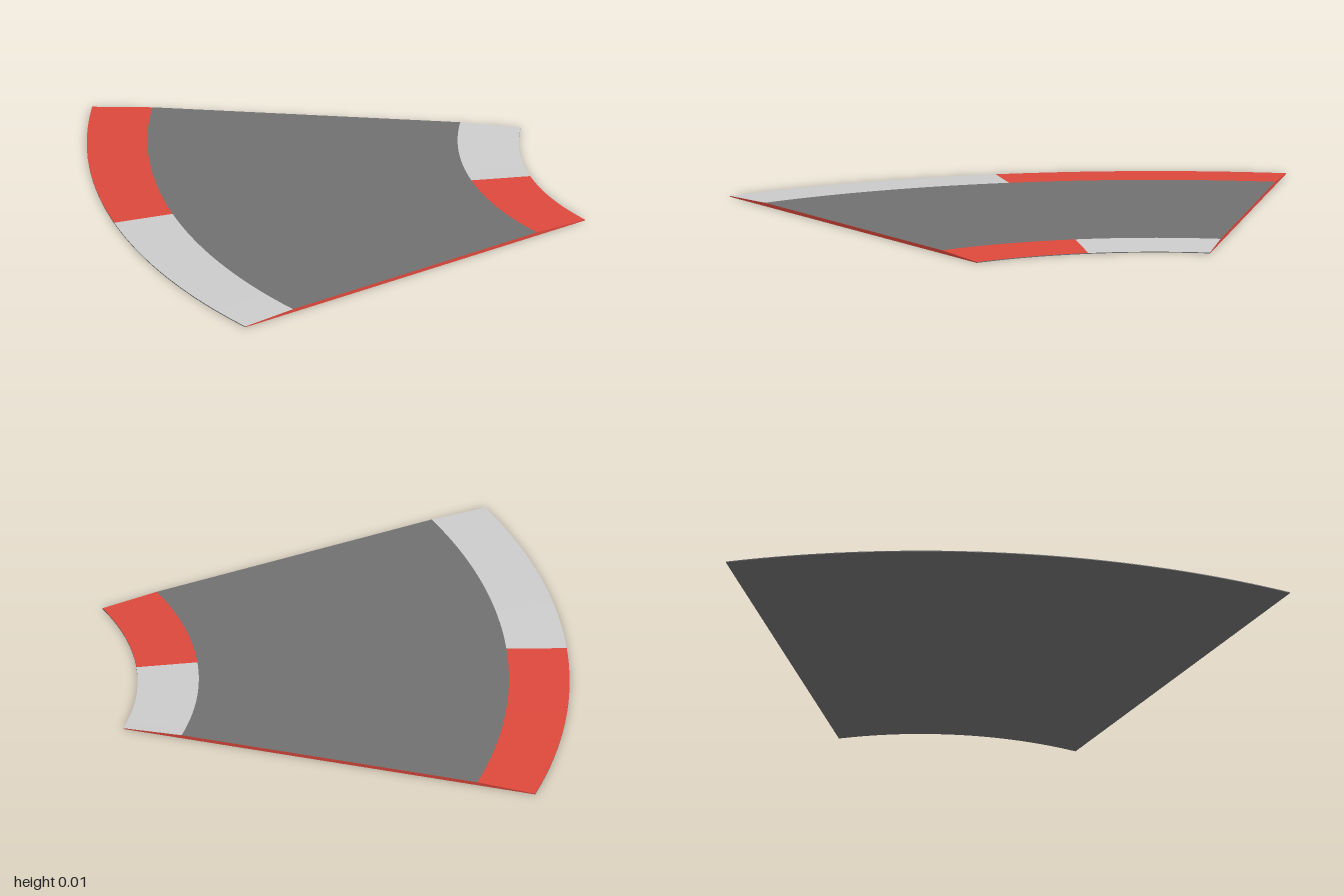
import * as THREE from 'three';

const CENTRE_X = 1.812;          // centre of the bend
const HALF = Math.PI / 8;        // half of the 45 degree sweep
const EDGE = 0.003, TOP = 0.012; // kerb edge height and road height
const R = { inner: 1.095, roadIn: 1.31, roadOut: 2.4, outer: 2.613 };

const asphalt = new THREE.MeshStandardMaterial({ color: 0x707070 });
const red = new THREE.MeshStandardMaterial({ color: 0xdc483c });
const redEnd = new THREE.MeshStandardMaterial({ color: 0xdc483c, side: THREE.DoubleSide });
const grey = new THREE.MeshStandardMaterial({ color: 0xcccccc });

// Sweeps a segment from [radius, height] a to b around the bend, from angle t0 to t1
function sweep(name, a, b, material, t0 = -HALF, t1 = HALF) {
  const steps = Math.round(32 * (t1 - t0) / (2 * HALF));
  const positions = [], indices = [];
  for (let i = 0; i <= steps; i++) {
    const t = t0 + (t1 - t0) * i / steps;
    for (const [r, y] of [a, b]) {
      positions.push(CENTRE_X - r * Math.cos(t), y, r * Math.sin(t));
    }
    if (i < steps) {
      const k = 2 * i;
      indices.push(k, k + 1, k + 3, k, k + 3, k + 2);
    }
  }
  const geometry = new THREE.BufferGeometry();
  geometry.setAttribute('position', new THREE.Float32BufferAttribute(positions, 3));
  geometry.setIndex(indices);
  geometry.computeVertexNormals();
  const mesh = new THREE.Mesh(geometry, material);
  mesh.name = name;
  return mesh;
}

export function createModel() {
  const group = new THREE.Group();
  group.name = 'curvedTrackSection';

  // Cross-section of the slab, from the inner bottom edge over the top to the outer bottom edge
  const profile = [
    [R.inner, 0], [R.inner, EDGE], [R.roadIn, TOP],
    [R.roadOut, TOP], [R.outer, EDGE], [R.outer, 0],
  ];
  const [p0, p1, p2, p3, p4, p5] = profile;

  // Road surface, underside and thin rims
  group.add(
    sweep('roadSurface', p2, p3, asphalt),
    sweep('underside', p5, p0, asphalt),
    sweep('innerRim', p0, p1, asphalt),
    sweep('outerRim', p4, p5, asphalt),
  );

  // Sloping kerbs, each half red and half grey
  group.add(
    sweep('innerKerbBack', p1, p2, grey, -HALF, 0),
    sweep('innerKerbFront', p1, p2, red, 0, HALF),
    sweep('outerKerbBack', p3, p4, red, -HALF, 0),
    sweep('outerKerbFront', p3, p4, grey, 0, HALF),
  );

  // Red walls closing both ends
  const section = new THREE.Shape(profile.map(([r, y]) => new THREE.Vector2(r, y)));
  for (const [name, t] of [['backEnd', -HALF], ['frontEnd', HALF]]) {
    const end = new THREE.Mesh(new THREE.ShapeGeometry(section), redEnd);
    end.name = name;
    end.rotation.y = Math.PI + t;
    end.position.x = CENTRE_X;
    group.add(end);
  }
  return group;
}
